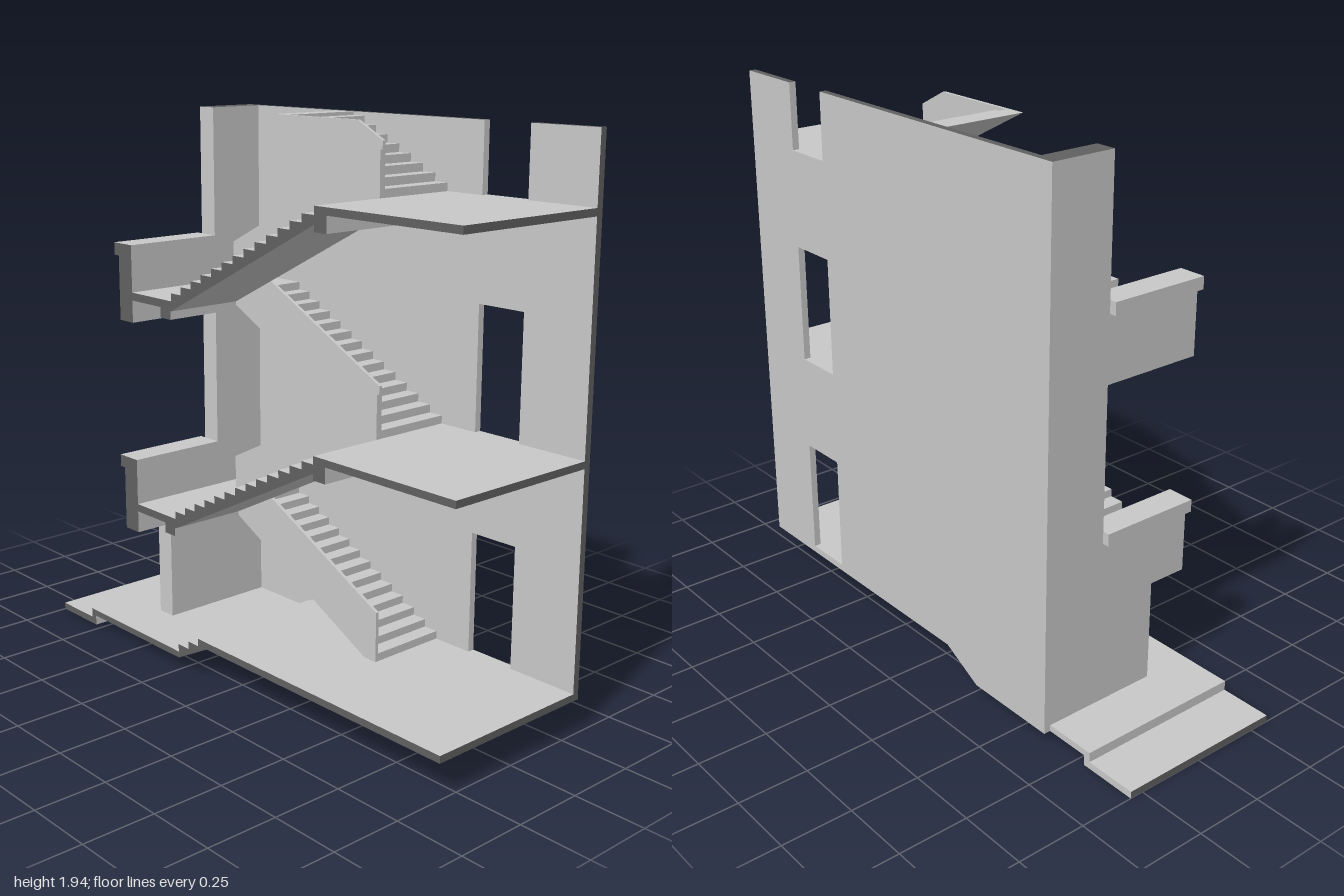
import * as THREE from 'three';

const concrete = new THREE.MeshStandardMaterial({ color: 0xc8c8c8 });
concrete.name = 'light concrete';
const cut = new THREE.MeshStandardMaterial({ color: 0x606060 });
cut.name = 'dark section cut';

const TOP = 1.94;              // height where the building is cut off
const BACK = -0.3, FRONT = 0.286;
const RISERS = 14, HALF = 0.39; // risers per flight, height of one flight
const X0 = -0.32, X1 = 0.4;    // horizontal run of the flights
const RISE = HALF / RISERS, TREAD = (X1 - X0) / (RISERS - 1);

// Keep only the part of an outline below the top cut
function clipTop(points) {
  const out = [];
  points.forEach((p, i) => {
    const q = points[(i + 1) % points.length];
    if (p[1] <= TOP) out.push(p);
    if ((p[1] <= TOP) !== (q[1] <= TOP)) {
      const t = (TOP - p[1]) / (q[1] - p[1]);
      out.push([p[0] + t * (q[0] - p[0]), TOP]);
    }
  });
  return out;
}

// Extrude an outline from z0 to z1; faces chosen by isCut(normal, centre) get the dark colour
function prism(name, points, z0, z1, isCut = () => false) {
  const shape = new THREE.Shape(points.map(([x, y]) => new THREE.Vector2(x, y)));
  const src = new THREE.ExtrudeGeometry(shape, { depth: z1 - z0, bevelEnabled: false });
  src.translate(0, 0, z0);
  const pos = src.getAttribute('position');
  const light = [], dark = [];
  const tri = new THREE.Triangle(), n = new THREE.Vector3(), c = new THREE.Vector3();
  for (let i = 0; i < pos.count; i += 3) {
    tri.setFromAttributeAndIndices(pos, i, i + 1, i + 2);
    tri.getNormal(n);
    tri.getMidpoint(c);
    const list = isCut(n, c) ? dark : light;
    for (const v of [tri.a, tri.b, tri.c]) list.push(v.x, v.y, v.z);
  }
  const geo = new THREE.BufferGeometry();
  geo.setAttribute('position', new THREE.Float32BufferAttribute([...light, ...dark], 3));
  geo.computeVertexNormals();
  if (light.length) geo.addGroup(0, light.length / 3, 0);
  if (dark.length) geo.addGroup(light.length / 3, dark.length / 3, 1);
  const mesh = new THREE.Mesh(geo, [concrete, cut]);
  mesh.name = name;
  return mesh;
}

const rect = (x0, x1, y0, y1) => [[x0, y0], [x1, y0], [x1, y1], [x0, y1]];
const sectionCut = (n, c) => n.z > 0.9 || (Math.abs(n.x) > 0.9 && Math.abs(c.x) > 0.99);
const wallCut = (n, c) => (n.y > 0.9 && c.y > TOP - 0.01) || (n.x > 0.9 && c.x > 0.99);

// Flight climbing to +x from the landing at height y
function frontFlight(y) {
  const pts = [[X0, y - 0.035]];
  for (let i = 0; i < RISERS - 1; i++) {
    pts.push([X0 + i * TREAD, y + i * RISE], [X0 + i * TREAD, y + (i + 1) * RISE]);
  }
  pts.push([X1, y + HALF - RISE], [X1, y + HALF - 0.058]);
  pts.splice(1, 1, [X0, y]);
  return pts;
}

// Flight climbing to -x from the floor at height y
function backFlight(y) {
  const pts = [[X1 - 0.053, y], [X1, y]];
  for (let i = 0; i < RISERS - 1; i++) {
    pts.push([X1 - i * TREAD, y + (i + 1) * RISE], [X1 - (i + 1) * TREAD, y + (i + 1) * RISE]);
  }
  pts.push([X0, y + HALF - 0.048]);
  return clipTop(pts);
}

export function createModel() {
  const model = new THREE.Group();
  model.name = 'stairwellSection';
  const floors = [0.145, 0.925, 1.705];

  // Ground slab with entrance steps
  model.add(prism('groundSlab', [
    [-1, 0], [-0.785, 0], [-0.785, 0.037], [-0.265, 0.037], [-0.105, 0.12], [1, 0.12],
    [1, 0.145], [-0.153, 0.145], [-0.153, 0.117], [-0.208, 0.117], [-0.208, 0.089],
    [-0.265, 0.089], [-0.265, 0.06], [-0.81, 0.06], [-0.81, 0.025], [-1, 0.025],
  ], BACK, 0.325, sectionCut));

  // Back wall pieces around the column of doorways
  const D0 = 0.55, D1 = 0.737, DOOR = 0.43;
  model.add(prism('backWall', [
    [-0.62, 0.037], [-0.265, 0.037], [-0.105, 0.12], [D0, 0.12], [D0, TOP], [-0.62, TOP],
  ], -0.325, BACK, wallCut));
  model.add(prism('backWallEnd', rect(D1, 1, 0.12, TOP), -0.325, BACK, wallCut));
  floors.forEach((y, i) => {
    const bottom = i ? floors[i - 1] + DOOR : 0.12;
    model.add(prism('doorLintel', rect(D0, D1, bottom, y), -0.325, BACK));
  });

  // Side wall, wider on the ground storey
  model.add(prism('sideWall', rect(-0.62, -0.545, 0.05, TOP), BACK, -0.088, wallCut));
  model.add(prism('sideWallBase', rect(-0.62, -0.545, 0.05, 0.427), -0.088, 0.14));

  // Flights rising along the back wall, with solid balustrades
  for (const y of floors) {
    model.add(prism('backFlight', backFlight(y), BACK, -0.013));
    model.add(prism('backBalustrade', clipTop([
      [X1 - 0.053, y], [X1, y], [X1, y + 0.177], [X0, y + 0.177 + 0.37], [X0, y + 0.342],
    ]), -0.013, -0.001));
  }

  // Landings, front flights, upper floors and parapets
  for (const floor of floors.slice(0, 2)) {
    const y = floor + HALF, up = y + HALF;
    model.add(prism('landing', [
      [-0.545, y - 0.028], [-0.38, y - 0.028], [-0.38, y - 0.065], [-0.325, y - 0.065],
      [-0.325, y - 0.035], [X0, y - 0.035], [X0, y], [-0.545, y],
    ], BACK, FRONT, sectionCut));
    model.add(prism('frontFlight', frontFlight(y), 0, FRONT, sectionCut));
    model.add(prism('frontBalustrade', [
      [X0, y - 0.035], [X1, up - 0.058], [X1, up + 0.15], [X0, y + 0.178],
    ], -0.001, 0.009));
    model.add(prism('upperFloor', [
      [X1, up - 0.08], [0.455, up - 0.08], [0.455, up - 0.025], [1, up - 0.025],
      [1, up], [X1, up],
    ], BACK, FRONT, sectionCut));
    model.add(prism('parapet', [
      [-0.62, y - 0.108], [-0.545, y - 0.108], [-0.545, y + 0.167], [-0.645, y + 0.167],
      [-0.645, y + 0.123], [-0.62, y + 0.123],
    ], -0.088, FRONT, sectionCut));
  }
  return model;
}
